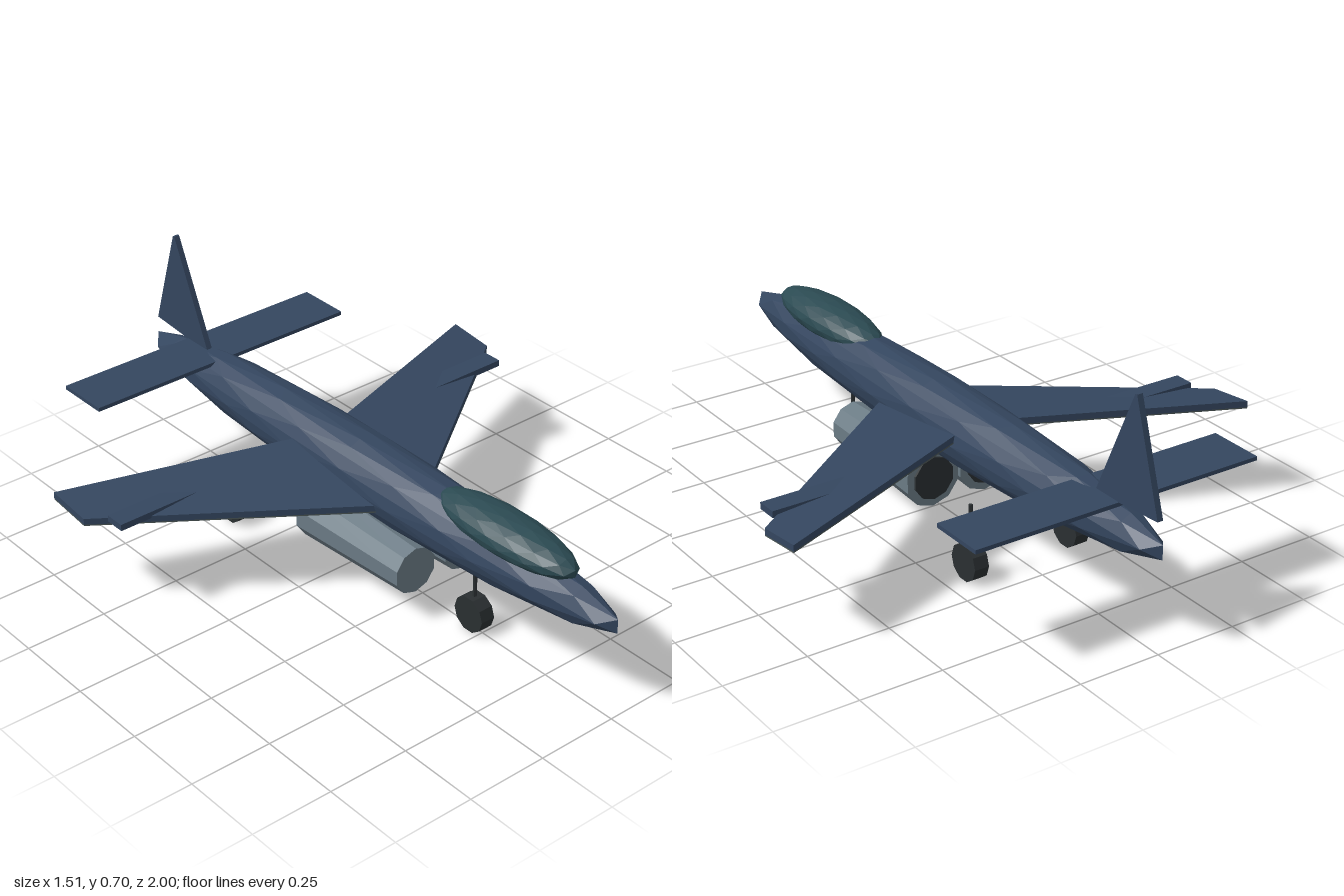
import * as THREE from 'three';

const paint = (color) => new THREE.MeshStandardMaterial({ color, flatShading: true });
const navy = paint(0x34465f);
const glass = paint(0x2b4a52);
const metal = paint(0x6b7b85);
const belly = paint(0x4a5555);
const dark = paint(0x2a2f31);

export function createModel() {
  const model = new THREE.Group();

  const add = (name, geometry, material, x = 0, y = 0, z = 0) => {
    const mesh = new THREE.Mesh(geometry, material);
    mesh.name = name;
    mesh.position.set(x, y, z);
    model.add(mesh);
    return mesh;
  };

  // Faceted ellipsoid, for the fuselage and canopy
  const ellipsoid = (rx, ry, rz) => new THREE.IcosahedronGeometry(1, 2).scale(rx, ry, rz);

  // Swept plate from [x, z] corners, leaning up to the rear and down to the tip
  const wingPlate = (corners, side, bottom, thickness) => {
    const shape = new THREE.Shape(corners.map(([x, z]) => new THREE.Vector2(side * x, -z)));
    const geometry = new THREE.ExtrudeGeometry(shape, { depth: thickness, bevelEnabled: false });
    geometry.rotateX(-Math.PI / 2);
    const p = geometry.attributes.position;
    for (let i = 0; i < p.count; i++) {
      const lean = -0.112 * (p.getZ(i) - 0.16) - 0.083 * (Math.abs(p.getX(i)) - 0.1);
      p.setY(i, p.getY(i) + bottom + lean);
    }
    geometry.computeVertexNormals();
    return geometry;
  };

  // Body
  add('fuselage', ellipsoid(0.107, 0.107, 1.021), navy, 0, 0.302, 0);
  add('canopy', ellipsoid(0.082, 0.056, 0.265), glass, 0, 0.38, 0.58);

  // Tail
  add('tailplane', new THREE.BoxGeometry(0.914, 0.012, 0.17), navy, 0, 0.368, -0.745);
  const finShape = new THREE.Shape([
    new THREE.Vector2(0.73, 0.365), new THREE.Vector2(0.985, 0.385),
    new THREE.Vector2(0.885, 0.7), new THREE.Vector2(0.878, 0.7),
  ]);
  const finGeometry = new THREE.ExtrudeGeometry(finShape, { depth: 0.018, bevelEnabled: false });
  finGeometry.translate(0, 0, -0.009).rotateY(Math.PI / 2);
  add('tailFin', finGeometry, navy);

  // Wings, engines and main gear on both sides
  const wingCorners = [[0.03, 0.21], [0.755, -0.31], [0.755, -0.455], [0.03, -0.19]];
  for (const side of [1, -1]) {
    const label = side > 0 ? 'left' : 'right';
    add(label + 'Wing', wingPlate(wingCorners, side, 0.276, 0.019), navy);
    add(label + 'WingUnderside', wingPlate(wingCorners, side, 0.272, 0.004), belly);
    add(label + 'WingSlat', new THREE.BoxGeometry(0.305, 0.02, 0.063), navy,
      side * 0.5525, 0.297, -0.233);

    // Engine nacelle, wider at the exhaust
    const nacelle = new THREE.CylinderGeometry(0.072, 0.09, 0.42, 10).rotateX(Math.PI / 2);
    add(label + 'Engine', nacelle, metal, side * 0.09, 0.158, 0.11);
    const nozzle = new THREE.CylinderGeometry(0.066, 0.066, 0.012, 10).rotateX(Math.PI / 2);
    add(label + 'Nozzle', nozzle, dark, side * 0.09, 0.158, -0.101);

    addGear(label + 'Main', side * 0.171, -0.4, 0.228);
  }
  addGear('nose', 0, 0.465, 0.24);

  // Wheel on a thin strut
  function addGear(label, x, z, top) {
    const wheel = new THREE.CylinderGeometry(0.056, 0.056, 0.046, 10).rotateZ(Math.PI / 2);
    add(label + 'Wheel', wheel, dark, x, 0.056, z);
    const strut = new THREE.CylinderGeometry(0.006, 0.006, top - 0.06, 6);
    add(label + 'Strut', strut, dark, x, (top + 0.06) / 2, z);
  }

  return model;
}
